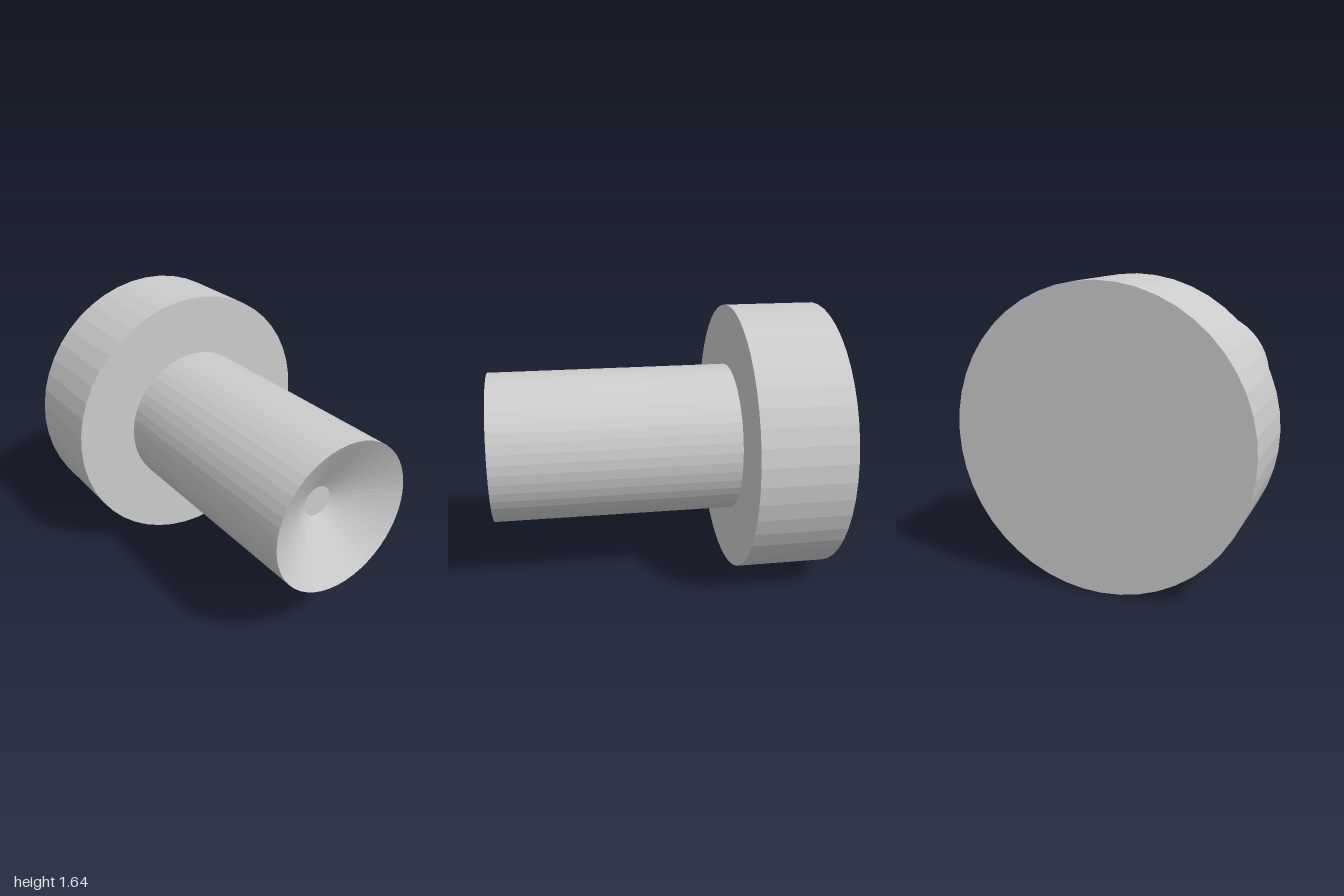
import * as THREE from 'three';

const SEGMENTS = 48;
const HEAD_R = 0.818, SHAFT_R = 0.453, HEAD_FRONT = -0.455;
const TIP_R = 0.09, RECESS_DEPTH = 0.21;

const material = new THREE.MeshStandardMaterial({ color: 0xcccccc, flatShading: true });

// Turned part along z from [radius, z] points
function turned(name, profile) {
  const points = profile.map(([r, z]) => new THREE.Vector2(r, z));
  const geometry = new THREE.LatheGeometry(points, SEGMENTS);
  geometry.rotateX(Math.PI / 2);
  const mesh = new THREE.Mesh(geometry, material);
  mesh.name = name;
  mesh.position.y = HEAD_R;
  return mesh;
}

export function createModel() {
  const group = new THREE.Group();
  group.name = 'flangedPin';

  // Wide disc at the back, its front face ending at the shaft
  group.add(turned('head', [[0, -1], [HEAD_R, -1], [HEAD_R, HEAD_FRONT], [SHAFT_R, HEAD_FRONT]]));

  // Shaft wall up to its sharp front rim
  group.add(turned('shaft', [[SHAFT_R, HEAD_FRONT], [SHAFT_R, 1]]));

  // Conical recess with a small flat floor
  group.add(turned('conicalRecess', [[SHAFT_R, 1], [TIP_R, 1 - RECESS_DEPTH], [0, 1 - RECESS_DEPTH]]));

  return group;
}
